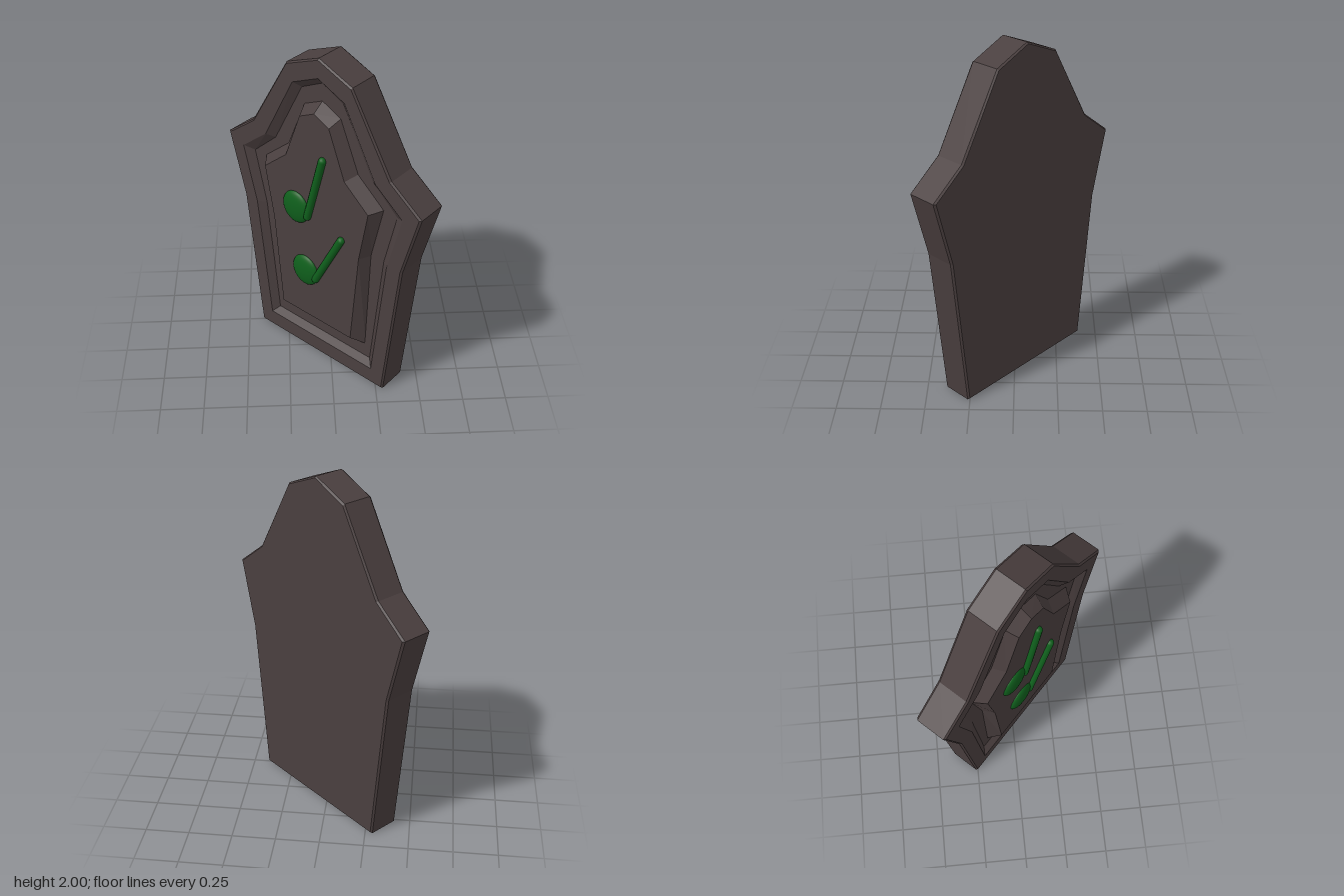
import * as THREE from 'three';

const stone = new THREE.MeshStandardMaterial({ color: 0x4a3f3f, flatShading: true });
const green = new THREE.MeshStandardMaterial({ color: 0x0f5f1c });

// Half outlines [half width, height], from the foot up to the apex on the centre line
const OUTER = [[0.478, 0], [0.574, 0.93], [0.676, 1.32], [0.478, 1.47], [0.218, 1.91], [0, 2]];
const RIM = [[0.392, 0.11], [0.475, 0.92], [0.562, 1.27], [0.383, 1.415], [0.175, 1.81], [0, 1.89]];
const FLOOR = [[0.355, 0.15], [0.43, 0.915], [0.505, 1.245], [0.34, 1.395], [0.14, 1.78], [0, 1.85]];
const PANEL_BASE = [[0.32, 0.24], [0.345, 0.91], [0.42, 1.25], [0.245, 1.4], [0.125, 1.69], [0, 1.75]];
const PANEL_FACE = [[0.26, 0.3], [0.31, 0.91], [0.366, 1.23], [0.205, 1.37], [0.1, 1.65], [0, 1.7]];

// Mirror a half outline into a closed counter-clockwise loop
function loop(half) {
  const left = half.slice(0, -1).reverse().map(([w, y]) => [-w, y]);
  return [...half, ...left];
}

// Pull an outline in slightly for a worn edge
const inset = (half) => half.map(([w, y]) => [w * 0.982, 1 + (y - 1) * 0.992]);

// Join matching loops from back to front and close both ends
function loft(sections) {
  const rings = sections.map(([half, z]) => loop(half).map(([x, y]) => [x, y, z]));
  const n = rings[0].length;
  const index = [];
  for (let i = 0; i < rings.length - 1; i++) {
    for (let j = 0; j < n; j++) {
      const k = (j + 1) % n;
      const a = i * n + j, b = i * n + k, c = b + n, d = a + n;
      index.push(a, b, c, a, c, d);
    }
  }
  const cap = (r, flip) => {
    const pts = rings[r].map(([x, y]) => new THREE.Vector2(x, y));
    for (const [a, b, c] of THREE.ShapeUtils.triangulateShape(pts, [])) {
      const o = r * n;
      index.push(o + a, o + (flip ? c : b), o + (flip ? b : c));
    }
  };
  cap(0, true);
  cap(rings.length - 1, false);
  const geo = new THREE.BufferGeometry();
  geo.setAttribute('position', new THREE.Float32BufferAttribute(rings.flat(2), 3));
  geo.setIndex(index);
  const flat = geo.toNonIndexed();
  flat.computeVertexNormals();
  return flat;
}

function add(parent, name, geometry, material) {
  const mesh = new THREE.Mesh(geometry, material);
  mesh.name = name;
  parent.add(mesh);
  return mesh;
}

// A flattened round head with a slanting stem
function makeNote(name, head, from, to) {
  const note = new THREE.Group();
  note.name = name;
  const ball = add(note, 'noteHead', new THREE.SphereGeometry(1, 24, 16), green);
  ball.scale.set(0.093, 0.102, 0.03);
  ball.position.set(head[0], head[1], 0.128);

  const dx = to[0] - from[0], dy = to[1] - from[1];
  const stem = add(note, 'noteStem', new THREE.CapsuleGeometry(0.023, Math.hypot(dx, dy), 4, 12), green);
  stem.position.set((from[0] + to[0]) / 2, (from[1] + to[1]) / 2, 0.134);
  stem.rotation.z = -Math.atan2(dx, dy);
  return note;
}

export function createModel() {
  const model = new THREE.Group();
  model.name = 'coffinSlab';
  const slab = new THREE.Group();
  slab.name = 'turnedSlab';
  slab.rotation.y = -0.749;
  model.add(slab);

  // Slab with worn edges, raised rim and sloped recess
  add(slab, 'slab', loft([
    [inset(OUTER), -0.095], [OUTER, -0.085], [OUTER, 0.085],
    [inset(OUTER), 0.095], [RIM, 0.095], [FLOOR, 0.06],
  ]), stone);

  // Chamfered panel standing in the recess
  add(slab, 'panel', loft([[PANEL_BASE, 0.055], [PANEL_FACE, 0.128]]), stone);

  slab.add(makeNote('upperNote', [-0.138, 1.055], [-0.05, 1.03], [0.06, 1.44]));
  slab.add(makeNote('lowerNote', [-0.075, 0.635], [0.005, 0.61], [0.19, 0.98]));
  return model;
}
